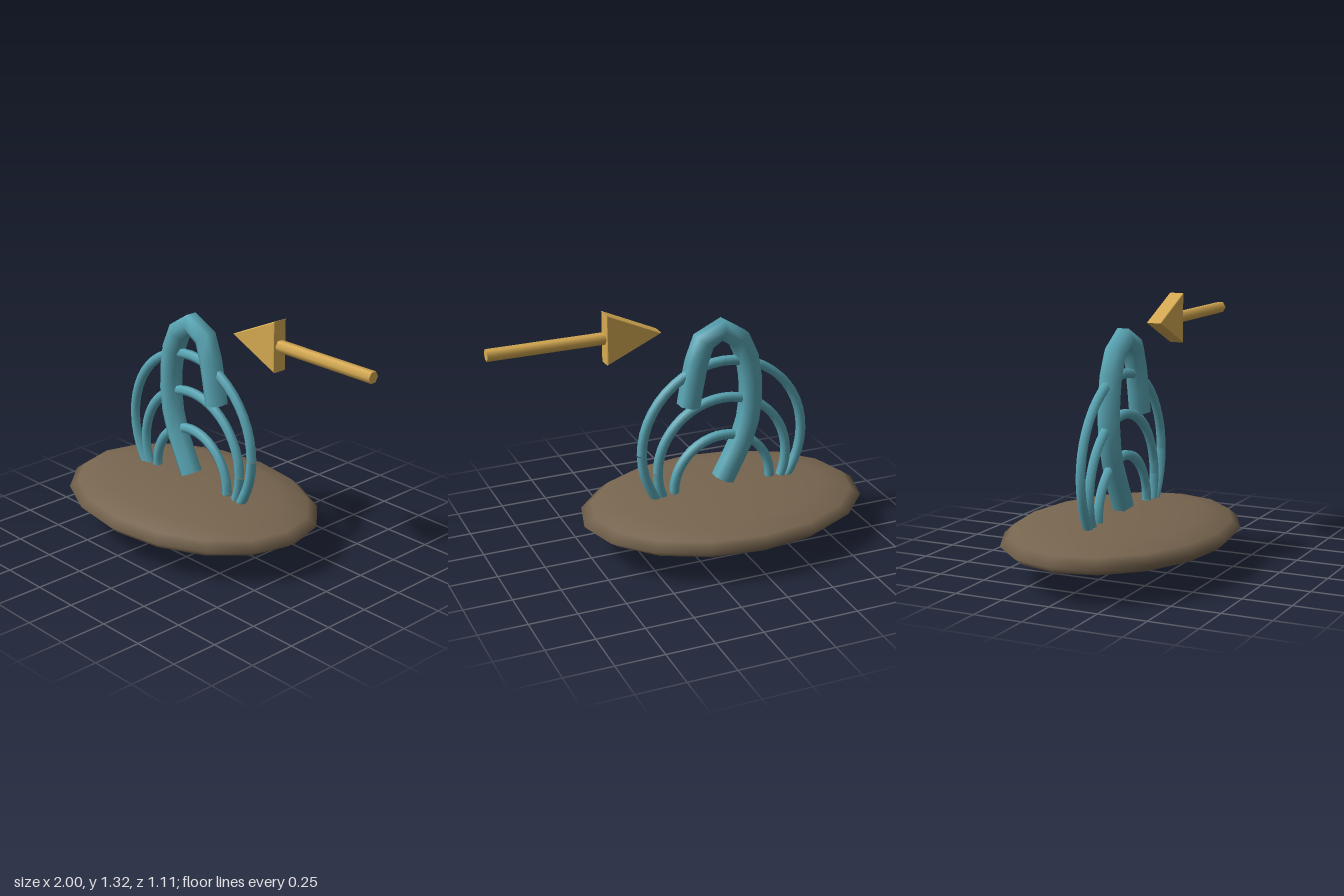
import * as THREE from 'three';

export function createModel() {
  const mat = (name, color) => {
    const m = new THREE.MeshStandardMaterial({ color });
    m.name = name;
    return m;
  };
  const teal = mat('teal', 0x5aa7b6);
  const brown = mat('brown', 0x77654f);
  const gold = mat('gold', 0xd6aa52);

  const group = new THREE.Group();
  const add = (name, geometry, material, parent = group) => {
    const mesh = new THREE.Mesh(geometry, material);
    mesh.name = name;
    parent.add(mesh);
    return mesh;
  };
  const cx = -0.233;

  // Flattened oval base
  const base = add('base', new THREE.SphereGeometry(1, 16, 8), brown);
  base.scale.set(0.767, 0.108, 0.555);
  base.position.set(cx, 0.187, 0);

  // Three upright hoops passing through the base
  const hoops = new THREE.Group();
  hoops.name = 'hoops';
  group.add(hoops);
  for (const [radius, y] of [[0.45, 0.527], [0.363, 0.412], [0.272, 0.2955]]) {
    const points = [];
    for (let i = 0; i <= 32; i++) {
      const a = (i / 32) * Math.PI * 2;
      points.push(new THREE.Vector3(cx + radius * Math.cos(a), y + radius * Math.sin(a), 0));
    }
    const path = new THREE.CatmullRomCurve3(points);
    add('hoop', new THREE.TubeGeometry(path, 48, 0.026, 6), teal, hoops);
  }

  // Thick hooked tube with closed ends
  const hookPath = new THREE.CatmullRomCurve3([
    [-0.235, 0.32], [-0.355, 0.57], [-0.387, 0.76], [-0.358, 1.0],
    [-0.295, 1.11], [-0.205, 1.15], [-0.122, 1.1], [-0.085, 1.0], [-0.04, 0.762],
  ].map(([x, y]) => new THREE.Vector3(x, y, 0)));
  const hook = new THREE.Group();
  hook.name = 'hook';
  group.add(hook);
  add('hookTube', new THREE.TubeGeometry(hookPath, 12, 0.061, 6), teal, hook);
  for (const t of [0, 1]) {
    const out = hookPath.getTangentAt(t).multiplyScalar(t ? 1 : -1);
    const side = new THREE.Vector3(0, 0, 1);
    const up = new THREE.Vector3().crossVectors(out, side);
    const placement = new THREE.Matrix4()
      .makeBasis(side, up, out)
      .setPosition(hookPath.getPointAt(t));
    add('hookEnd', new THREE.CircleGeometry(0.061, 6).applyMatrix4(placement), teal, hook);
  }

  // Arrow: hexagonal shaft and triangular head
  const arrow = new THREE.Group();
  arrow.name = 'arrow';
  arrow.position.y = 1.19;
  group.add(arrow);
  const shaft = new THREE.CylinderGeometry(0.031, 0.031, 0.6, 6).rotateZ(Math.PI / 2);
  add('arrowShaft', shaft, gold, arrow).position.x = 0.7;

  const outline = new THREE.Shape();
  outline.moveTo(0.12, 0);
  outline.lineTo(0.405, -0.13);
  outline.lineTo(0.405, 0.13);
  outline.closePath();
  const head = new THREE.ExtrudeGeometry(outline, {
    depth: 0.068,
    bevelEnabled: true,
    bevelThickness: 0.006,
    bevelSize: 0.006,
    bevelOffset: -0.006,
    bevelSegments: 2,
  });
  add('arrowHead', head, gold, arrow).position.z = -0.034;

  return group;
}
